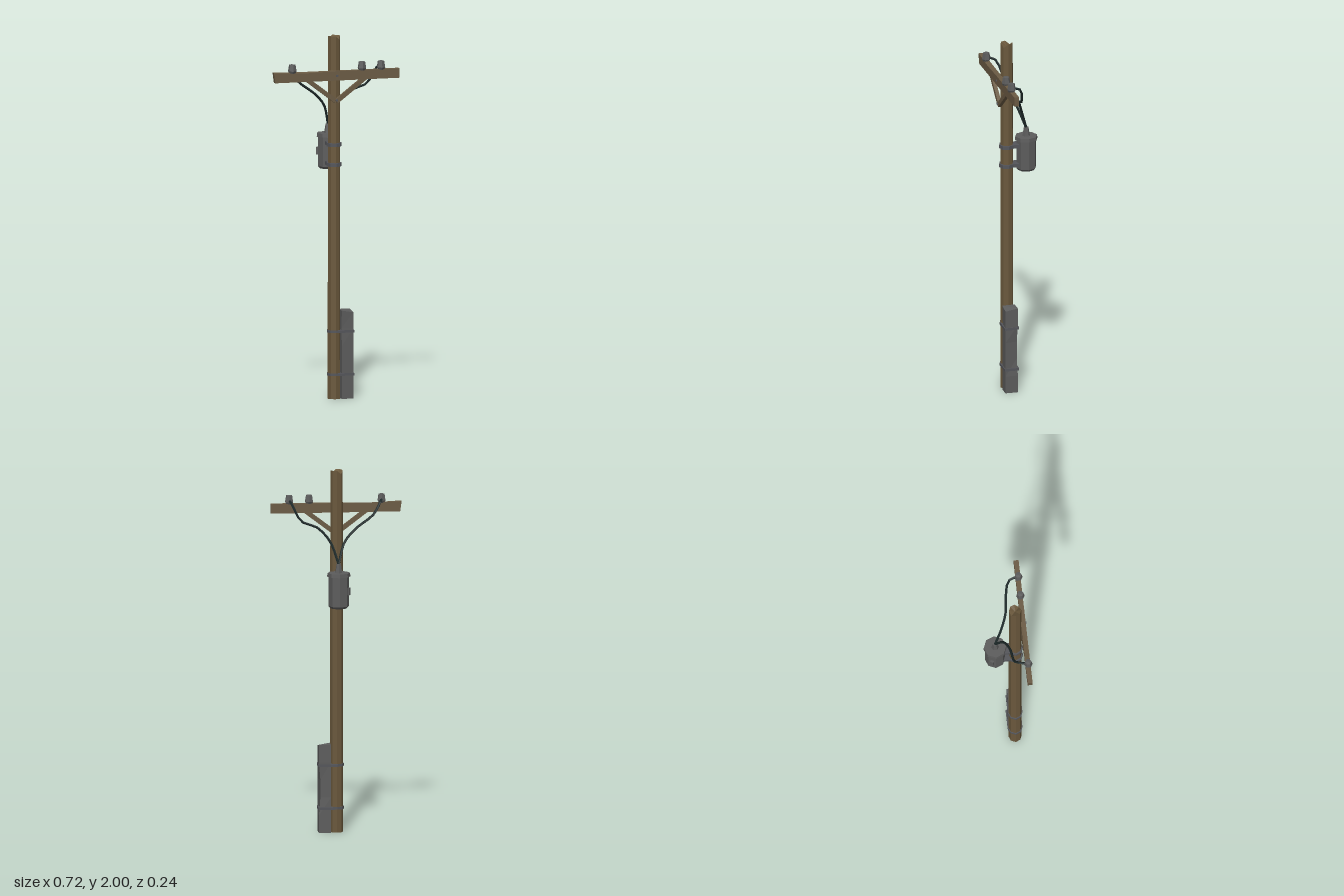
import * as THREE from 'three';

const mat = (name, color, extra = {}) =>
  Object.assign(new THREE.MeshStandardMaterial({ color, flatShading: true, ...extra }), { name });

export function createModel() {
  const wood = mat('pole wood', 0x6a583c);
  const plank = mat('crossarm wood', 0x6b5b44);
  const steel = mat('grey steel', 0x5c5c5c);
  const strapSteel = mat('strap steel', 0x54555a);
  const rubber = mat('cable rubber', 0x1f2b2b);
  const group = new THREE.Group();
  const PZ = 0.05; // pole centre in z

  const add = (name, geo, material, x = 0, y = 0, z = 0) => {
    const m = new THREE.Mesh(geo, material);
    m.name = name;
    m.position.set(x, y, z);
    group.add(m);
    return m;
  };
  // moves every vertex of a geometry by a rule
  const warp = (geo, rule) => {
    const p = geo.attributes.position, v = new THREE.Vector3();
    for (let i = 0; i < p.count; i++) {
      rule(v.fromBufferAttribute(p, i));
      p.setXYZ(i, v.x, v.y, v.z);
    }
    geo.computeVertexNormals();
    return geo;
  };
  // horizontal slab from an outline of [x, z] points
  const slab = (pts, h) => {
    const shape = new THREE.Shape(pts.map(([x, z]) => new THREE.Vector2(x, -z)));
    return new THREE.ExtrudeGeometry(shape, { depth: h, bevelEnabled: false }).rotateX(-Math.PI / 2);
  };

  // pole with a weathered, sunken top
  add('pole', warp(new THREE.CylinderGeometry(0.034, 0.036, 2, 8), v => {
    if (v.y < 0.9) return;
    if (Math.hypot(v.x, v.z) < 0.01) v.y -= 0.02;
    else if (v.x * v.z > 0.0003) v.y -= 0.02;
  }), wood, 0, 1, PZ);

  // crossarm, slightly uneven at the ends
  add('crossarm', warp(new THREE.BoxGeometry(0.714, 0.052, 0.027, 4, 1, 1), v => {
    if (v.x < -0.3) { v.x -= v.y > 0 ? 0.004 : -0.004; v.y += v.y > 0 ? 0.004 : 0; }
    if (Math.abs(v.x) < 0.2 && v.x < 0 && v.y > 0 && v.z > 0) v.y -= 0.005;
  }), plank, 0, 1.786, 0.094);

  // diagonal braces
  for (const s of [-1, 1]) {
    const a = new THREE.Vector2(0, 1.643), b = new THREE.Vector2(s * 0.165, 1.768);
    const d = b.clone().sub(a);
    const m = add('brace', new THREE.BoxGeometry(d.length(), 0.024, 0.02), plank,
      (a.x + b.x) / 2, (a.y + b.y) / 2, 0.091 + s * 0.001);
    m.rotation.z = Math.atan2(d.y, d.x);
  }
  for (const [y, z] of [[1.786, 0.108], [1.65, 0.102]])
    add('bolt', new THREE.CylinderGeometry(0.007, 0.007, 0.008, 6).rotateX(Math.PI / 2), strapSteel, 0, y, z);

  // insulators
  for (const x of [-0.252, 0.146, 0.255]) {
    add('insulator', new THREE.LatheGeometry(
      [[0, 0], [0.018, 0], [0.024, 0.012], [0.018, 0.048], [0, 0.05]].map(p => new THREE.Vector2(...p)), 6),
    steel, x, 1.809, 0.095);
  }

  // transformer tank, lid, terminal and side fitting
  const TZ = -0.06;
  const turn = Math.PI / 8;
  add('transformerTank', new THREE.LatheGeometry(
    [[0, 0], [0.046, 0], [0.056, 0.012], [0.056, 0.18], [0, 0.18]].map(p => new THREE.Vector2(...p)), 8),
  steel, 0, 1.255, TZ);
  add('transformerLid', new THREE.CylinderGeometry(0.062, 0.064, 0.02, 8), steel, 0, 1.44, TZ);
  add('terminal', new THREE.CylinderGeometry(0.013, 0.021, 0.05, 6), steel, 0, 1.475, TZ);
  add('sideFitting', new THREE.BoxGeometry(0.014, 0.04, 0.02), steel, -0.052, 1.35, TZ - 0.022).rotation.y = -turn * 1.5;

  // transformer brackets wrapping the pole
  const hanger = [[-0.03, -0.022], [0.03, -0.022], [0.03, 0.02], [0.043, 0.05],
    [0.03, 0.081], [0, 0.093], [-0.03, 0.081], [-0.043, 0.05], [-0.03, 0.02]];
  for (const y of [1.281, 1.391]) add('transformerBracket', slab(hanger, 0.02), strapSteel, 0, y);

  // cable cabinet at the foot, with a dented edge and sloped top corner
  add('cabinet', warp(new THREE.BoxGeometry(0.066, 0.487, 0.07, 1, 5, 1), v => {
    if (v.y > 0.24 && v.x > 0 && v.z > 0) v.y -= 0.012;
    if (Math.abs(v.y) < 0.06 && v.x > 0 && v.z < 0) { v.x -= 0.008; v.z += 0.004; }
    if (v.y > 0.1 && v.y < 0.2 && v.x < 0 && v.z > 0) v.z -= 0.003;
  }), steel, 0.067, 0.2435, PZ);
  const belt = [[-0.041, 0.05], [-0.029, 0.021], [0, 0.009], [0.104, 0.009],
    [0.104, 0.09], [0, 0.09], [-0.029, 0.079]];
  for (const y of [0.128, 0.365]) add('cabinetStrap', slab(belt, 0.014), strapSteel, 0, y);

  // cables from the outer insulators down to the terminal
  const cables = [
    [[-0.252, 1.83, 0.082], [-0.237, 1.815, 0.045], [-0.2, 1.755, 0.022], [-0.1, 1.68, 0.01], [-0.036, 1.61, -0.018], [0, 1.495, -0.06]],
    [[0.255, 1.83, 0.082], [0.244, 1.812, 0.042], [0.197, 1.725, 0.021], [0.11, 1.69, 0.011], [0.042, 1.615, -0.02], [0, 1.495, -0.06]],
  ];
  for (const pts of cables) {
    const curve = new THREE.CatmullRomCurve3(pts.map(p => new THREE.Vector3(...p)), false, 'centripetal');
    add('cable', new THREE.TubeGeometry(curve, 12, 0.007, 5), rubber);
  }
  return group;
}
